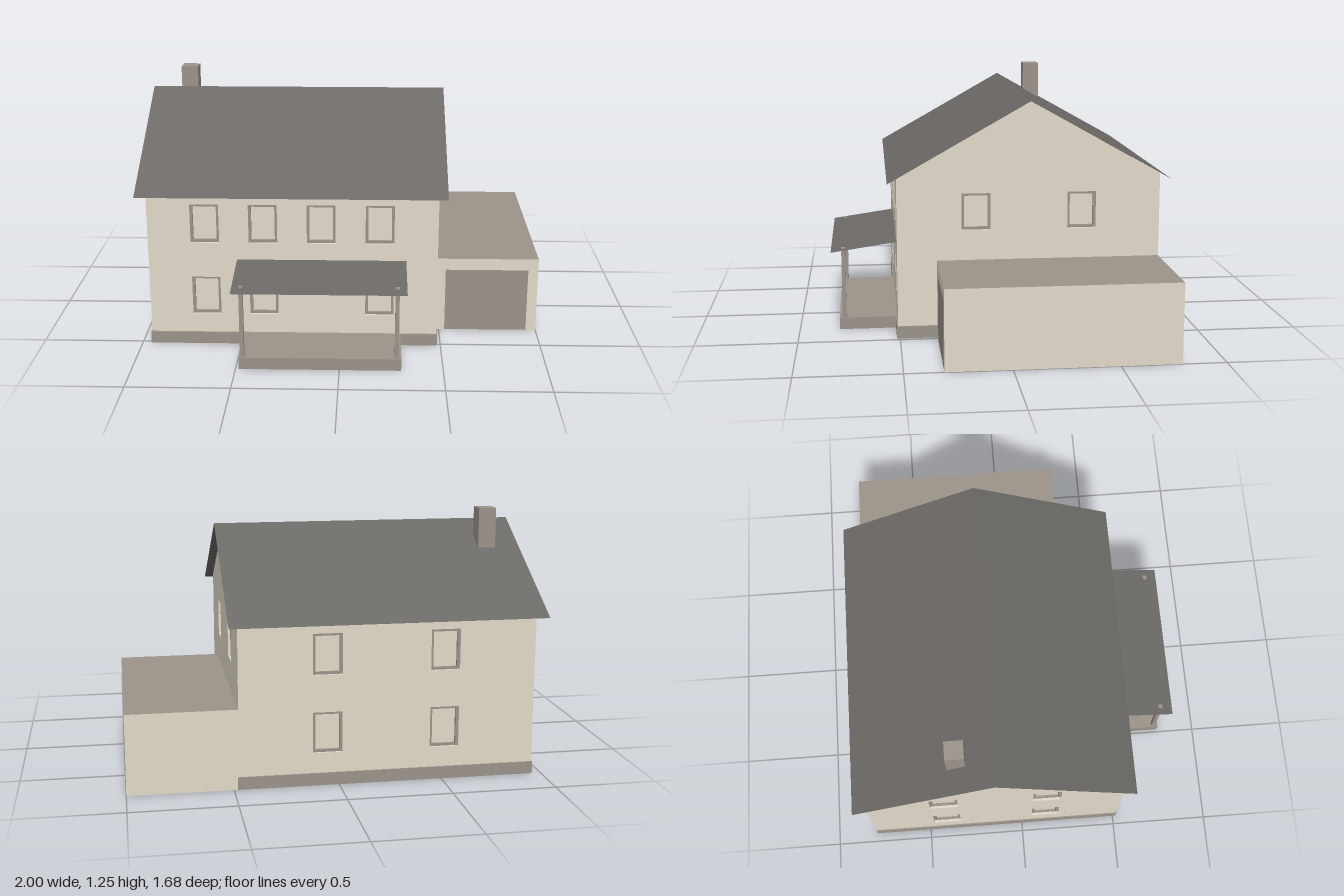
import * as THREE from 'three';

const mat = (name, color) => {
  const m = new THREE.MeshStandardMaterial({ color, side: THREE.DoubleSide });
  m.name = name;
  return m;
};

export function createModel() {
  const cream = mat('cream wall', 0xe2dac9);
  const trim = mat('taupe trim', 0x9c938a);
  const slate = mat('dark roof', 0x6c6966);
  const model = new THREE.Group();
  model.name = 'house';

  const add = (name, geometry, material, parent = model) => {
    const mesh = new THREE.Mesh(geometry, material);
    mesh.name = name;
    parent.add(mesh);
    return mesh;
  };
  const group = (name, parent = model) => {
    const g = new THREE.Group();
    g.name = name;
    parent.add(g);
    return g;
  };
  // Box given by its lower and upper corners
  const box = (name, material, x0, x1, y0, y1, z0, z1, parent) => {
    const g = new THREE.BoxGeometry(x1 - x0, y1 - y0, z1 - z0);
    g.translate((x0 + x1) / 2, (y0 + y1) / 2, (z0 + z1) / 2);
    return add(name, g, material, parent);
  };
  // Remove the underside of a box, leaving a hollow slab
  const openBelow = (mesh) => {
    const index = Array.from(mesh.geometry.index.array);
    index.splice(18, 6);
    mesh.geometry.setIndex(index);
    mesh.geometry.clearGroups();
  };
  // Flat four-cornered sheet, corners counter-clockwise from outside
  const sheet = (name, material, a, b, c, d, parent) => {
    const g = new THREE.BufferGeometry();
    g.setAttribute('position', new THREE.Float32BufferAttribute([a, b, c, d].flat(), 3));
    g.setIndex([0, 1, 2, 0, 2, 3]);
    g.computeVertexNormals();
    return add(name, g, material, parent);
  };
  const points = (pts) => pts.map(([x, y]) => new THREE.Vector2(x, y));
  const rect = (x, y, w, h) => points([
    [x - w / 2, y - h / 2], [x + w / 2, y - h / 2], [x + w / 2, y + h / 2], [x - w / 2, y + h / 2]]);
  // Slab with openings, its outer face at z = face
  const slab = (outline, holes, depth, face) => {
    const s = new THREE.Shape(outline);
    s.holes = holes.map((h) => new THREE.Path(h));
    return new THREE.ExtrudeGeometry(s, { depth, bevelEnabled: false }).translate(0, 0, face - depth);
  };

  const x0 = -0.95, x1 = 0.477, zFront = 0.51, zBack = -0.79, ridgeZ = -0.14;
  const base = 0.062, eave = 0.805;

  // One wall seen from outside, with set-back window frames and panes
  const wall = (name, outline, windows, height, x, z, turn) => {
    const g = group(name);
    g.position.set(x, 0, z);
    g.rotation.y = turn;
    const w = 0.141;
    add('wallSlab', slab(points(outline), windows.map(([u, y]) => rect(u, y, w, height)), 0.03, 0), cream, g);
    for (const [u, y] of windows) {
      const inner = rect(u, y, w - 0.026, height - 0.026);
      add('windowFrame', slab(rect(u, y, w, height), [inner], 0.014, -0.012), trim, g);
      add('windowPane', new THREE.ShapeGeometry(new THREE.Shape(inner)), cream, g).position.z = -0.024;
    }
  };
  const rows = (us, upper, lower) => us.flatMap((u) => [[u, upper], [u, lower]]);

  // Long walls
  wall('frontWall', [[x0, base], [x1, base], [x1, eave], [x0, eave]],
    [...rows([-0.668, -0.382, 0.192], 0.637, 0.259), [-0.096, 0.637]], 0.198, 0, zFront, 0);
  wall('backWall', [[-x1, base], [-x0, base], [-x0, eave], [-x1, eave]],
    rows([0.51, -0.055], 0.637, 0.259), 0.198, 0, zBack, Math.PI);
  // Gable walls, mirrored
  for (const [name, x, s] of [['leftGable', x1, -1], ['rightGable', x0, 1]]) {
    const outline = [[zFront, base], [zFront, eave], [ridgeZ, 1.171], [zBack, eave], [zBack, base]];
    wall(name, outline.map(([z, y]) => [s * z, y]), rows([s * 0.122, s * -0.4], 0.631, 0.252), 0.182,
      x, 0, -s * Math.PI / 2);
  }
  openBelow(box('foundation', trim, x0 - 0.006, x1 + 0.005, 0, 0.06, zBack - 0.002, zFront + 0.006));

  // Thin roof slopes overhanging the walls
  const rl = -1, rr = 0.52, ry = 1.174, ey = 0.782, ef = 0.555, eb = -0.84;
  sheet('roofFront', slate, [rl, ey, ef], [rr, ey, ef], [rr, ry, ridgeZ], [rl, ry, ridgeZ]);
  sheet('roofBack', slate, [rr, ey, eb], [rl, ey, eb], [rl, ry, ridgeZ], [rr, ry, ridgeZ]);
  box('chimney', trim, -0.875, -0.787, 1.0, 1.25, -0.36, -0.27);

  // Garage: open shell against the side wall, with the door set flush
  const garage = group('garage');
  const gx = 1, gy = 0.39, gf = 0.315, gb = zBack;
  const front = points([[x1, 0], [0.53, 0], [0.53, 0.33], [0.95, 0.33], [0.95, 0], [gx, 0], [gx, gy], [x1, gy]]);
  add('garageFront', new THREE.ShapeGeometry(new THREE.Shape(front)), cream, garage).position.z = gf;
  sheet('garageDoor', trim, [0.53, 0, gf], [0.95, 0, gf], [0.95, 0.33, gf], [0.53, 0.33, gf], garage);
  sheet('garageSide', cream, [gx, 0, gf], [gx, 0, gb], [gx, gy, gb], [gx, gy, gf], garage);
  sheet('garageBack', cream, [gx, 0, gb], [x1, 0, gb], [x1, gy, gb], [gx, gy, gb], garage);
  sheet('garageRoof', trim, [x1, gy, gf], [gx, gy, gf], [gx, gy, gb], [x1, gy, gb], garage);

  // Porch
  const porch = group('porch');
  openBelow(box('porchSlab', trim, -0.485, 0.298, 0, 0.06, zFront + 0.006, 0.8, porch));
  for (const x of [-0.468, 0.276]) box('porchPost', trim, x - 0.01, x + 0.01, 0.06, 0.42, 0.765, 0.785, porch);
  const pl = -0.512, pr = 0.322;
  sheet('porchRoof', slate, [pl, 0.405, 0.837], [pr, 0.405, 0.837], [pr, 0.452, zFront], [pl, 0.452, zFront], porch);

  return model;
}
